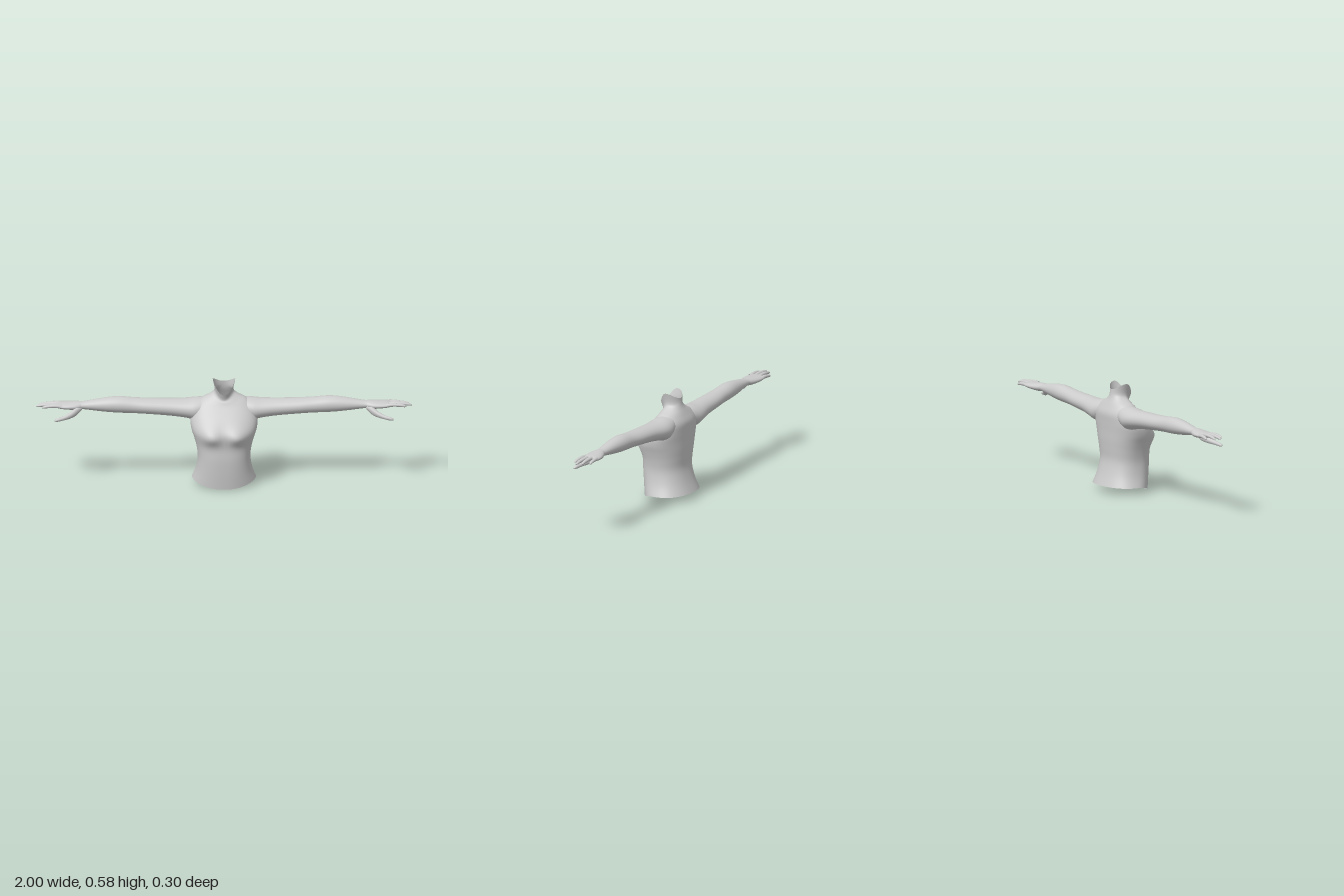
import * as THREE from 'three';

const SIDES = 32;
const material = new THREE.MeshStandardMaterial({ color: 0xcccccc, side: THREE.DoubleSide });

// Catmull-Rom refinement of a table of cross-sections
function refine(rows, steps) {
  const out = [];
  const at = i => rows[Math.min(Math.max(i, 0), rows.length - 1)];
  for (let i = 0; i < rows.length - 1; i++) {
    for (let s = 0; s < steps; s++) {
      const t = s / steps;
      out.push(rows[i].map((b, k) => {
        const a = at(i - 1)[k], c = at(i + 1)[k], d = at(i + 2)[k];
        return b + 0.5 * t * (c - a + t * (2 * a - 5 * b + 4 * c - d + t * (3 * (b - c) + d - a)));
      }));
    }
  }
  out.push(rows[rows.length - 1]);
  return out;
}

// Smooth skin over rings of points, with an optional rounded end
function skin(rings, capEnd) {
  const n = rings[0].length, pos = rings.flat(2), index = [];
  for (let i = 0; i < rings.length - 1; i++) {
    for (let j = 0; j < n; j++) {
      const a = i * n + j, b = i * n + (j + 1) % n;
      index.push(a, b, a + n, b, b + n, a + n);
    }
  }
  if (capEnd) {
    const last = rings[rings.length - 1], tip = rings.length * n;
    pos.push(...[0, 1, 2].map(k => last.reduce((sum, p) => sum + p[k], 0) / n));
    for (let j = 0; j < n; j++) index.push(tip - n + j, tip - n + (j + 1) % n, tip);
  }
  const g = new THREE.BufferGeometry();
  g.setAttribute('position', new THREE.Float32BufferAttribute(pos, 3));
  g.setIndex(index);
  g.computeVertexNormals();
  return g;
}

const power = (v, n) => Math.sign(v) * Math.abs(v) ** (2 / n);

// Limb along x; rows are [x, centre y, half height, centre z, half depth]
function limb(rows, sides, steps, capEnd) {
  return skin(refine(rows, steps).map(([x, y, ry, z, rz]) =>
    Array.from({ length: sides }, (_, j) => {
      const a = j / sides * Math.PI * 2;
      return [x, y + ry * Math.cos(a), z + rz * Math.sin(a)];
    })), capEnd);
}

function mirrored(geometry) {
  const g = geometry.clone().scale(-1, 1, 1), ix = g.index.array;
  for (let i = 0; i < ix.length; i += 3) [ix[i], ix[i + 1]] = [ix[i + 1], ix[i]];
  g.computeVertexNormals();
  return g;
}

// Torso and neck; rows are [front y, side y, back y, half width, front z, back z, squareness]
function torsoGeometry() {
  const rows = [
    [0.0, 0.034, 0.037, 0.17, 0.11, -0.148, 2.2],
    [0.08, 0.09, 0.1, 0.15, 0.119, -0.125, 2.3],
    [0.16, 0.16, 0.17, 0.14, 0.125, -0.108, 2.4],
    [0.22, 0.22, 0.23, 0.147, 0.125, -0.11, 2.4],
    [0.27, 0.27, 0.28, 0.16, 0.128, -0.113, 2.4],
    [0.315, 0.315, 0.33, 0.174, 0.126, -0.114, 2.4],
    [0.365, 0.365, 0.38, 0.178, 0.1, -0.116, 2.4],
    [0.41, 0.425, 0.425, 0.16, 0.067, -0.116, 2.4],
    [0.44, 0.468, 0.465, 0.125, 0.045, -0.099, 2.2],
    [0.46, 0.492, 0.5, 0.08, 0.034, -0.082, 2],
    [0.475, 0.52, 0.525, 0.051, 0.027, -0.075, 2],
    [0.505, 0.58, 0.55, 0.06, 0.038, -0.072, 2],
  ];
  return skin(refine(rows, 4).map(([yF, yS, yB, w, zF, zB, n]) =>
    Array.from({ length: SIDES * 2 }, (_, j) => {
      const a = j / SIDES * Math.PI, c = Math.cos(a), s = Math.sin(a);
      const x = w * power(s, n);
      const y = yS + ((c > 0 ? yF : yB) - yS) * c * c;
      let z = (zF + zB) / 2 + (zF - zB) / 2 * power(c, n);
      // Bust, with a steeper lower edge
      if (c > 0) {
        const dy = (y - 0.292) / (y < 0.292 ? 0.038 : 0.05);
        const dx = (Math.abs(x) - 0.07) / 0.055;
        z += 0.028 * Math.exp(-dx * dx - dy * dy);
      }
      return [x, y, z];
    })), false);
}

export function createModel() {
  const model = new THREE.Group();
  const add = (name, geometry, parent) => {
    const mesh = new THREE.Mesh(geometry, material);
    mesh.name = name;
    parent.add(mesh);
  };
  add('torsoAndNeck', torsoGeometry(), model);

  const parts = {
    arm: limb([
      [0.1, 0.42, 0.052, -0.038, 0.062],
      [0.15, 0.41, 0.06, -0.036, 0.073],
      [0.2, 0.413, 0.052, -0.036, 0.07],
      [0.28, 0.419, 0.046, -0.032, 0.06],
      [0.4, 0.426, 0.042, -0.029, 0.055],
      [0.48, 0.431, 0.042, -0.027, 0.049],
      [0.56, 0.436, 0.044, -0.026, 0.048],
      [0.64, 0.436, 0.037, -0.024, 0.041],
      [0.74, 0.434, 0.022, -0.022, 0.029],
      [0.77, 0.434, 0.021, -0.022, 0.031],
    ], SIDES, 3, false),
    palm: limb([
      [0.76, 0.434, 0.021, -0.022, 0.03],
      [0.79, 0.432, 0.022, -0.023, 0.041],
      [0.83, 0.432, 0.019, -0.026, 0.048],
      [0.87, 0.433, 0.015, -0.028, 0.047],
      [0.885, 0.433, 0.01, -0.028, 0.042],
    ], SIDES, 3, true),
    thumb: limb([
      [0.755, 0.425, 0.012, -0.01, 0.014],
      [0.785, 0.409, 0.023, 0.008, 0.02],
      [0.815, 0.394, 0.018, 0.026, 0.017],
      [0.85, 0.383, 0.012, 0.043, 0.012],
      [0.88, 0.377, 0.01, 0.052, 0.01],
      [0.895, 0.374, 0.007, 0.055, 0.007],
      [0.901, 0.373, 0.002, 0.056, 0.002],
    ], 12, 3, true),
  };

  // Fingers: [name, base z, tip z, tip x]
  [['indexFinger', 0.007, 0.012, 0.97], ['middleFinger', -0.016, -0.014, 1.0],
    ['ringFinger', -0.039, -0.041, 0.985], ['littleFinger', -0.061, -0.068, 0.945],
  ].forEach(([name, z0, z1, tip], i) => {
    const start = i === 3 ? 0.845 : 0.86;
    const profile = [[0, 0.012], [0.35, 0.011], [0.7, 0.0095], [0.9, 0.0075], [1, 0.002]];
    parts[name] = limb(profile.map(([t, r]) => [
      start + (tip - start) * t,
      0.435 + 0.006 * Math.sin(t * Math.PI) - 0.004 * t - (i === 3 ? 0.004 : 0),
      r * 0.9, z0 + (z1 - z0) * t, r,
    ]), 12, 3, true);
  });

  for (const side of ['left', 'right']) {
    const group = new THREE.Group();
    group.name = side + 'Arm';
    for (const [name, g] of Object.entries(parts)) {
      add(side + name[0].toUpperCase() + name.slice(1), side === 'left' ? g : mirrored(g), group);
    }
    model.add(group);
  }
  return model;
}
